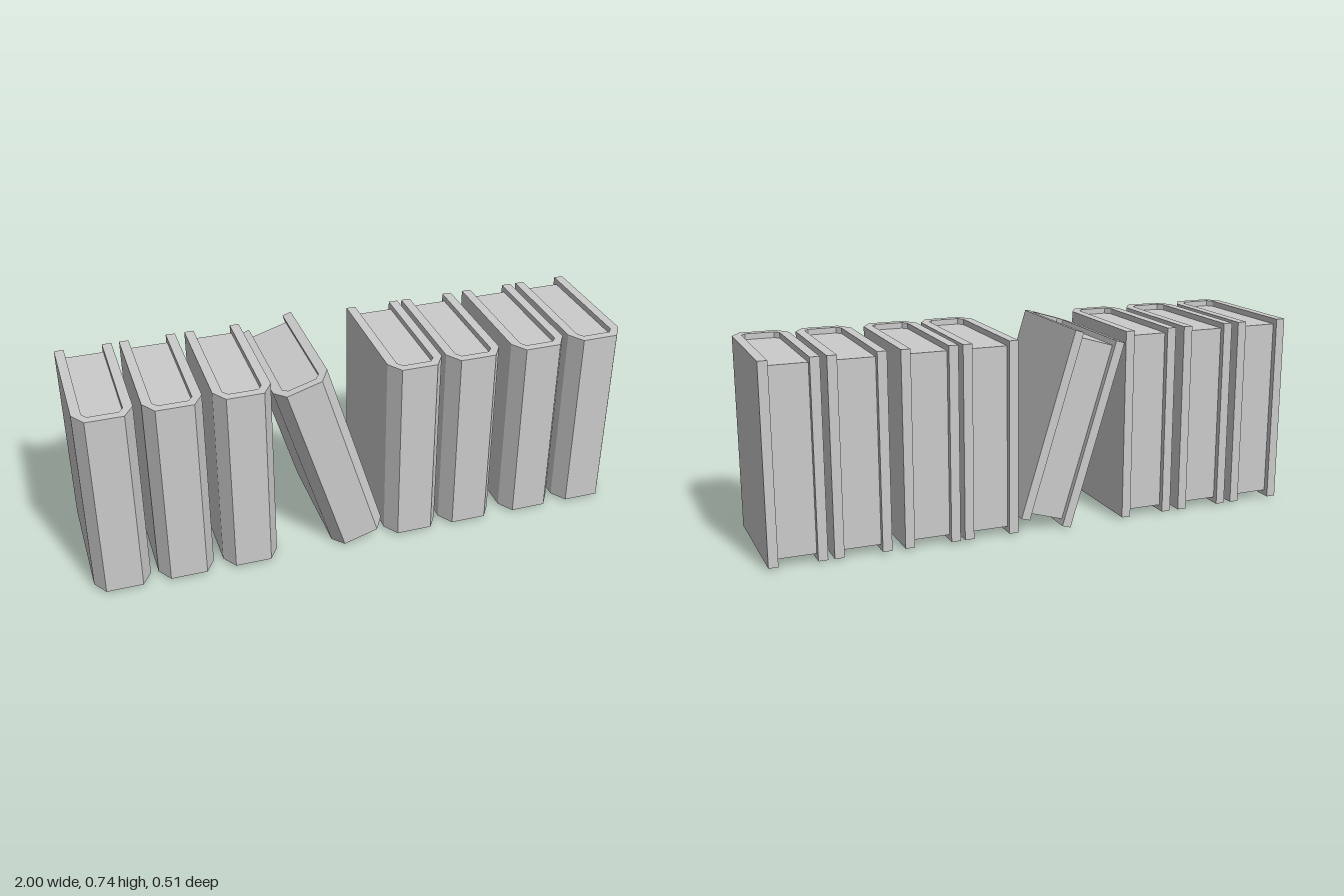
import * as THREE from 'three';

const W = 0.102, D = 0.256, H = 0.707; // half width, half depth, height of a book
const RECESS = 0.021;                  // pages sit back from the cover edges

// Plan outline given as [x, z], extruded upward and centred on y = 0
function extrudePlan(points, height) {
  const shape = new THREE.Shape(points.map(([x, z]) => new THREE.Vector2(x, -z)));
  const geo = new THREE.ExtrudeGeometry(shape, { depth: height, bevelEnabled: false });
  geo.translate(0, 0, -height / 2);
  geo.rotateX(-Math.PI / 2);
  return geo;
}

// Left-to-right run along the spine side, chamfered at both corners
const spineRun = (halfW, back, shoulder, flat, front) => [
  [-halfW, back], [-halfW, shoulder], [-flat, front],
  [flat, front], [halfW, shoulder], [halfW, back],
];

export function createModel() {
  const group = new THREE.Group();
  group.name = 'bookRow';
  const material = new THREE.MeshStandardMaterial({ color: 0xcccccc, flatShading: true });

  // Wrap-around cover: outer run followed by the inner run reversed
  const outer = spineRun(W, -D, 0.2, 0.066, D);
  const inner = spineRun(0.068, -D, 0.203, 0.052, 0.224);
  const coverGeo = extrudePlan([...outer, ...inner.reverse()], H);

  // Page block, filling the cover but set back at top, bottom and rear
  const pagesGeo = extrudePlan(
    spineRun(0.068, -D + RECESS, 0.203, 0.052, 0.224), H - 2 * RECESS);

  const addBook = (name, x, y, tilt = 0) => {
    const book = new THREE.Group();
    book.name = name;
    const cover = new THREE.Mesh(coverGeo, material);
    cover.name = 'cover';
    const pages = new THREE.Mesh(pagesGeo, material);
    pages.name = 'pages';
    book.add(cover, pages);
    book.position.set(x, y, 0);
    book.rotation.z = tilt;
    group.add(book);
  };

  // Upright books
  [-0.898, -0.666, -0.427, 0.198, 0.419, 0.671, 0.898].forEach(
    (x, i) => addBook(`uprightBook${i + 1}`, x, 0.01 + H / 2));

  // Leaning book, resting on its lower edge
  const tilt = THREE.MathUtils.degToRad(17);
  addBook('leaningBook', -0.118, (H / 2) * Math.cos(tilt) + W * Math.sin(tilt), tilt);

  return group;
}
